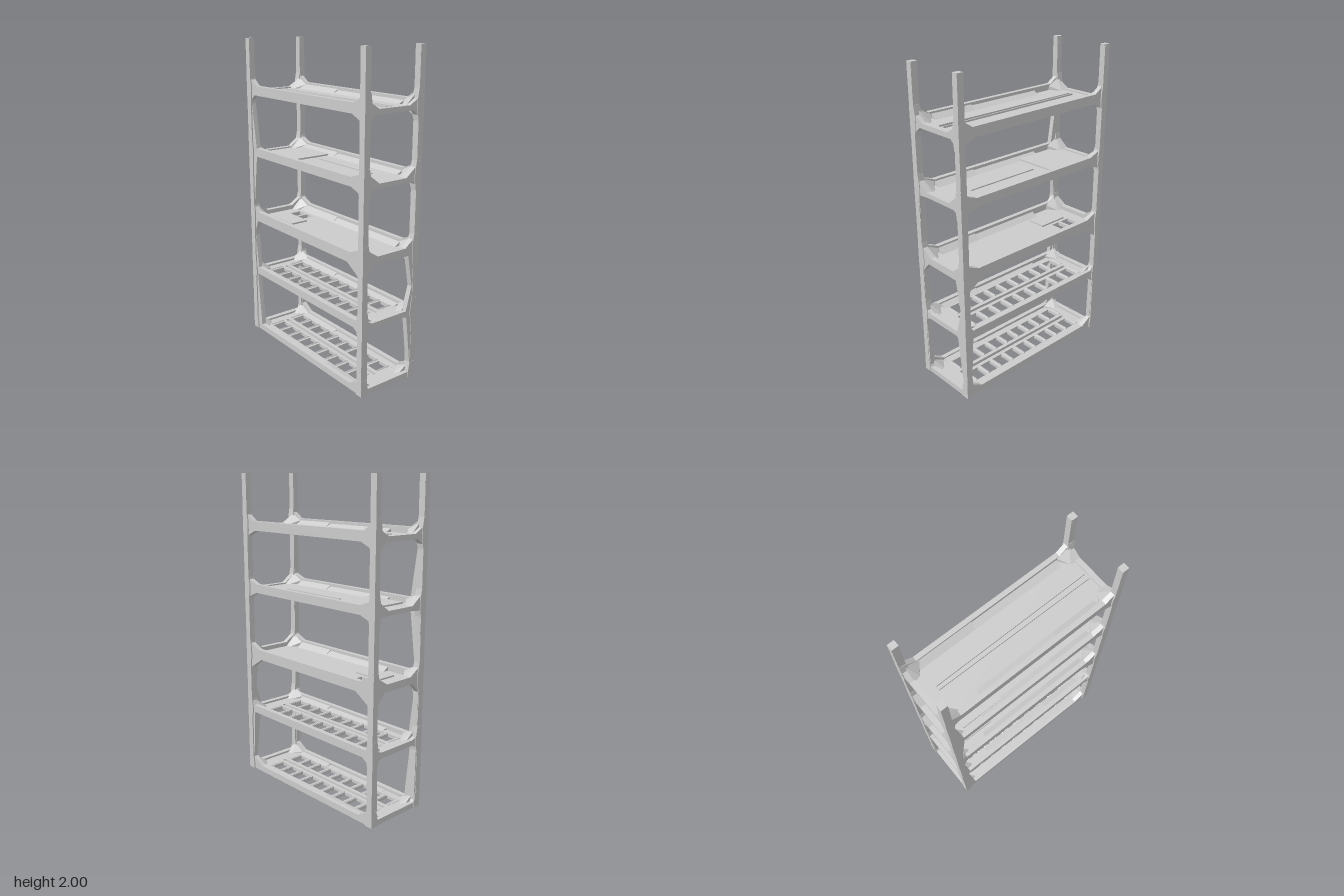
import * as THREE from 'three';
import { ConvexGeometry } from 'three/addons/geometries/ConvexGeometry.js';

const mat = new THREE.MeshStandardMaterial({ color: 0xcccccc, flatShading: true });

// Shelf levels: rail bottom, long rail top, short rail top
const LEVELS = [
  [0, 0.04, 0.035], [0.415, 0.465, 0.45], [0.8, 0.865, 0.85], [1.245, 1.3, 1.27], [1.645, 1.705, 1.675],
];

function add(parent, name, geometry, x = 0, y = 0, z = 0) {
  const m = new THREE.Mesh(geometry, mat);
  m.name = name;
  m.position.set(x, y, z);
  parent.add(m);
  return m;
}

const toPoints = (pts) => pts.map(([a, b]) => new THREE.Vector2(a, b));

// Flat plate with holes, extruded along +z by depth
function plate(outline, holes, depth) {
  const s = new THREE.Shape(toPoints(outline));
  for (const h of holes) s.holes.push(new THREE.Path(toPoints(h)));
  return new THREE.ExtrudeGeometry(s, { depth, bevelEnabled: false });
}

// Window from its low-side edge and high-side edge, both listed upward
const windowOf = (low, high) => [...high, ...low.slice().reverse()];
const mirror = (edge) => edge.map(([a, b]) => [-a, b]);
const rect = (x0, x1, y0, y1) => [[x0, y0], [x1, y0], [x1, y1], [x0, y1]];

// Window edges on the regular posts of the long frames
const longEdges = [
  [[0.47, 0.04], [0.545, 0.085], [0.545, 0.385], [0.5, 0.415]],
  [[0.525, 0.465], [0.55, 0.5], [0.55, 0.73], [0.44, 0.8]],
  [[0.47, 0.865], [0.55, 0.9], [0.55, 1.215], [0.47, 1.245]],
  [[0.47, 1.3], [0.55, 1.33], [0.55, 1.61], [0.47, 1.645]],
];
// Window edges on the widened front post
const wideEdges = [
  [[-0.5, 0.04], [-0.505, 0.1], [-0.535, 0.4], [-0.53, 0.415]],
  [[-0.52, 0.465], [-0.55, 0.72], [-0.515, 0.8]],
  [[-0.515, 0.865], [-0.55, 0.9], [-0.505, 1.245]],
  [[-0.505, 1.3], [-0.55, 1.61], [-0.515, 1.645]],
];
// Right edges of the back frame, leaning in near the second shelf
const backEdges = longEdges.map((e, i) =>
  i === 0 ? [[0.47, 0.04], [0.545, 0.085], [0.527, 0.4], [0.52, 0.415]] : e);

// Window edges of the short frames, on front (+) and back (-) posts
const shortEdges = [
  [[0.155, 0.035], [0.165, 0.05], [0.17, 0.4], [0.13, 0.415]],
  [[0.13, 0.45], [0.173, 0.465], [0.173, 0.745], [0.12, 0.805]],
  [[0.1, 0.85], [0.178, 0.9], [0.17, 1.235], [0.1, 1.242]],
  [[0.1, 1.27], [0.178, 1.33], [0.175, 1.61], [0.13, 1.645]],
];
const shortBackEdges = [
  [[-0.165, 0.035], [-0.175, 0.085], [-0.137, 0.4], [-0.13, 0.415]],
  [[-0.13, 0.45], [-0.17, 0.6], [-0.135, 0.8]],
  [[-0.11, 0.85], [-0.175, 0.9], [-0.175, 1.22], [-0.14, 1.242]],
  [[-0.1, 1.27], [-0.175, 1.33], [-0.175, 1.61], [-0.14, 1.645]],
];

// Frame outline, open at the top between the two posts
function frameOutline(half, inner, flat, railTop) {
  return [[-half, 0], [half, 0], [half, 2], [inner, 2], [inner + 0.004, railTop + 0.04], [flat, railTop],
    [-flat, railTop], [-inner - 0.004, railTop + 0.04], [-inner, 2], [-half, 2]];
}

function buildFrames(root) {
  const long = frameOutline(0.585, 0.546, 0.49, 1.705);
  add(root, 'frontFrame', plate(long, longEdges.map((e, i) => windowOf(wideEdges[i], e)), 0.03), 0, 0, 0.175);
  add(root, 'backFrame', plate(long, longEdges.map((e, i) => windowOf(mirror(e), backEdges[i])), 0.03), 0, 0, -0.205);

  const short = frameOutline(0.205, 0.174, 0.11, 1.675);
  for (const side of [1, -1]) {
    const holes = shortEdges.map((e, i) => windowOf(side > 0 ? shortBackEdges[i] : mirror(e), e));
    const g = plate(short, holes, 0.034);
    g.rotateY(-Math.PI / 2); // shape x becomes z, depth runs toward -x
    add(root, side > 0 ? 'leftFrame' : 'rightFrame', g, side > 0 ? 0.586 : -0.552);
  }
}

// Square corner posts, slightly swollen at each shelf
function buildPosts(root) {
  for (const sx of [1, -1]) for (const sz of [1, -1]) {
    const post = new THREE.Group();
    post.name = 'post';
    add(post, 'postShaft', new THREE.BoxGeometry(0.042, 2, 0.038), sx * 0.568, 1, sz * 0.194);
    for (const [bottom, top] of LEVELS) {
      const y0 = Math.max(0, bottom - 0.06), y1 = top + 0.06;
      const corner = (y, w) => [[0.59, 0.213], [0.59 - w, 0.213], [0.59, 0.213 - w], [0.59 - w, 0.213 - w]]
        .map(([x, z]) => new THREE.Vector3(sx * x, y, sz * z));
      add(post, 'postCollar', new ConvexGeometry([
        ...corner(y0, 0.04), ...corner(bottom, 0.05), ...corner(top, 0.05), ...corner(y1, 0.04)]));
    }
    root.add(post);
  }
}

// Sloping lip along a long rail, from x0 to x1
function lip(parent, sz, x0, x1, low, high) {
  const pts = [];
  for (const x of [x0, x1]) for (const [z, y] of [[0.18, low], [0.135, low], [0.18, high]]) {
    pts.push(new THREE.Vector3(x, y, sz * z));
  }
  add(parent, 'railLip', new ConvexGeometry(pts));
}

// Triangular braces from the shelf up to each post
function braces(parent, low, top) {
  for (const sx of [1, -1]) for (const sz of [1, -1]) {
    const pts = [[0.47, low, 0.18], [0.47, top - 0.01, 0.18], [0.56, low, 0.1], [0.56, low, 0.18],
      [0.56, top + 0.035, 0.18], [0.52, low, 0.11]];
    add(parent, 'cornerBrace', new ConvexGeometry(pts.map(([x, y, z]) => new THREE.Vector3(sx * x, y, sz * z))));
  }
}

// Horizontal deck with openings; shape y is -z
function deck(parent, holes, y, thickness) {
  const g = plate(rect(-0.56, 0.56, -0.185, 0.185), holes, thickness);
  g.rotateX(-Math.PI / 2);
  add(parent, 'deck', g, 0, y, 0);
}

function buildShelves(root) {
  LEVELS.forEach(([bottom, top, sideTop], i) => {
    const shelf = new THREE.Group();
    shelf.name = 'shelf' + (i + 1);
    const low = Math.min(sideTop, bottom + 0.03) - 0.008;
    const holes = [];
    if (i < 2) {
      // Open grating: two rows of cells beside a split centre beam
      for (let k = 0; k < 9; k++) {
        const x = -0.47 + k * 0.104;
        for (const s of [1, -1]) {
          holes.push([[x, s * 0.035], [x + 0.075, s * 0.035], [x + 0.075, s * 0.13], [x, s * 0.13]]);
        }
      }
      holes.push(rect(-0.49, 0.47, -0.01, 0.01));
      // Tilted slats between cells
      for (let k = 0; k < 10; k++) for (const s of [1, -1]) {
        const slat = add(shelf, 'slat', new THREE.BoxGeometry(0.01, 0.03, 0.1), -0.484 + k * 0.104, low - 0.008, s * 0.083);
        slat.rotation.z = 0.5;
      }
    } else if (i === 2) {
      // Broken corner with two openings and a loose patch
      holes.push(rect(-0.47, -0.4, 0.03, 0.11), rect(-0.38, -0.32, 0.03, 0.11));
      add(shelf, 'patch', new THREE.BoxGeometry(0.2, 0.012, 0.12), -0.35, low + 0.004, 0.05);
    } else if (i === 3) {
      // Overlapping cover sheets with a long seam
      add(shelf, 'coverSheet', new THREE.BoxGeometry(0.28, 0.012, 0.3), -0.33, low + 0.004, 0);
      add(shelf, 'seamStrip', new THREE.BoxGeometry(0.5, 0.008, 0.012), 0.12, low + 0.003, -0.03);
    } else {
      // Pair of tapering ridges along the deck
      for (const s of [1, -1]) {
        const ridge = add(shelf, 'ridge', new THREE.BoxGeometry(1.03, 0.012, 0.008), 0.025, low + 0.004, s * 0.015);
        ridge.rotation.y = -s * 0.005;
      }
    }
    deck(shelf, holes, bottom + 0.002, low - bottom - 0.002);
    lip(shelf, -1, -0.51, -0.13, low, top - 0.008);
    lip(shelf, -1, -0.13, 0.47, low, top - 0.016);
    lip(shelf, 1, -0.34, 0.18, low, top - 0.016);
    lip(shelf, 1, 0.18, 0.47, low, top - 0.008);
    braces(shelf, low, top);
    root.add(shelf);
  });
}

export function createModel() {
  const root = new THREE.Group();
  root.name = 'shelvingUnit';
  buildFrames(root);
  buildPosts(root);
  buildShelves(root);
  return root;
}
